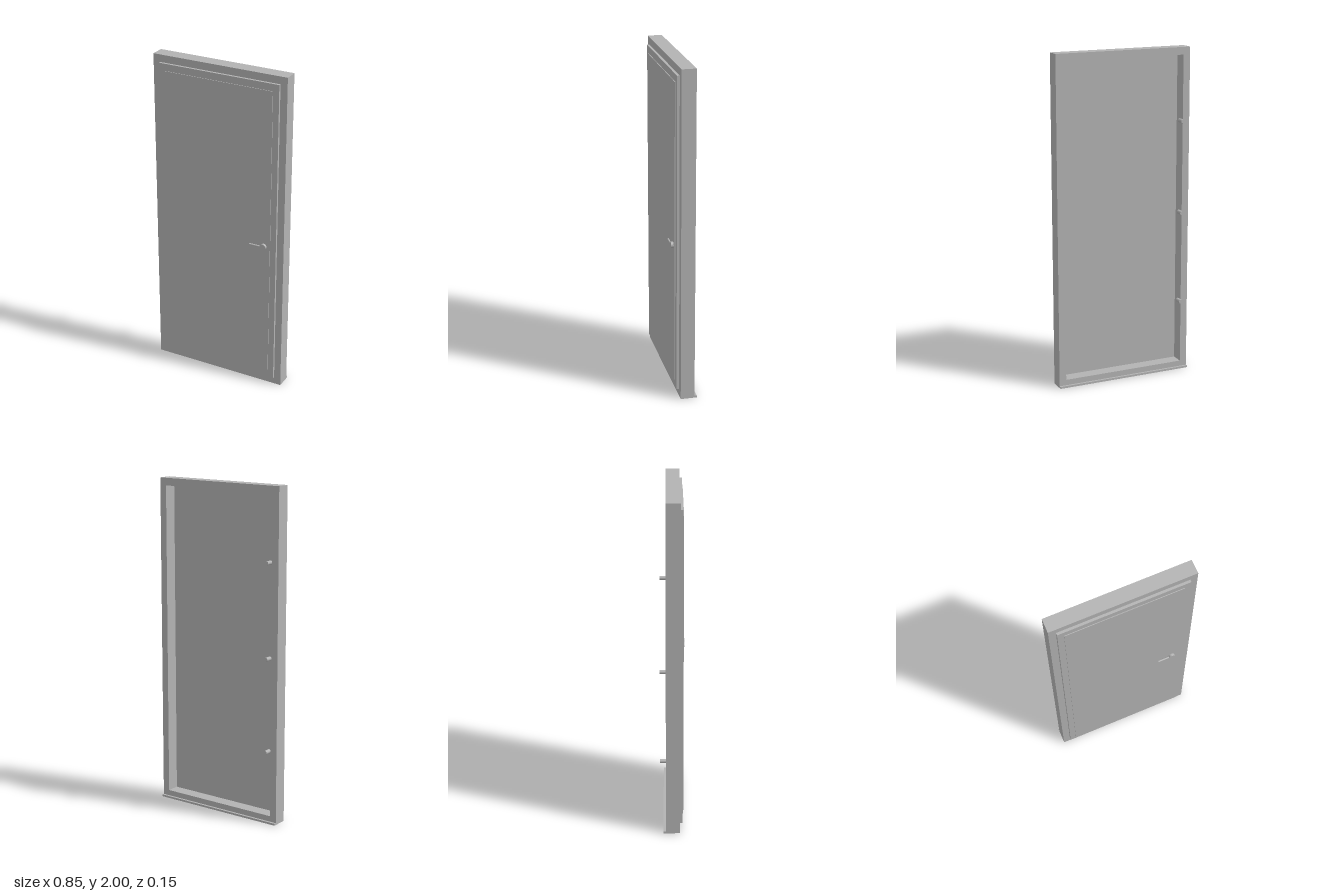
import * as THREE from 'three';

const grey = new THREE.MeshStandardMaterial({ color: 0xb3b3b3 });
grey.name = 'grey';

export function createModel() {
  const model = new THREE.Group();
  model.name = 'door';

  const add = (name, geometry, x, y, z) => {
    const mesh = new THREE.Mesh(geometry, grey);
    mesh.name = name;
    mesh.position.set(x, y, z);
    model.add(mesh);
    return mesh;
  };
  // Box given by its extents
  const box = (name, x0, x1, y0, y1, z0, z1) =>
    add(name, new THREE.BoxGeometry(x1 - x0, y1 - y0, z1 - z0),
      (x0 + x1) / 2, (y0 + y1) / 2, (z0 + z1) / 2);
  // Cylinder lying along z
  const pin = (name, r, x, y, z0, z1) =>
    add(name, new THREE.CylinderGeometry(r, r, z1 - z0, 32).rotateX(Math.PI / 2), x, y, (z0 + z1) / 2);

  // Frame: rectangular ring, open through the back
  const W = 0.426, w = 0.383, b = 0.046, t = 1.955;
  const outline = new THREE.Shape([[-W, 0], [W, 0], [W, 2], [-W, 2]].map(p => new THREE.Vector2(...p)));
  outline.holes.push(new THREE.Path([[-w, b], [-w, t], [w, t], [w, b]].map(p => new THREE.Vector2(...p))));
  add('frame', new THREE.ExtrudeGeometry(outline, { depth: 0.084, bevelEnabled: false }), 0, 0, -0.042);

  // Door leaf and its raised front panel
  box('leaf', -w, w, b, t, 0.036, 0.057);
  box('panel', -0.346, 0.346, 0.09, 1.912, 0.057, 0.061);

  // Sill lip along the back of the frame
  box('sill', -W, W, 0, 0.012, -0.056, -0.042);

  // Hinge pins
  for (const y of [0.445, 1.005, 1.565]) pin('hinge', 0.012, -0.367, y, -0.076, -0.032);

  // Handle: round knob with a thin lever
  pin('knob', 0.019, 0.306, 0.942, 0.059, 0.076);
  add('lever', new THREE.CylinderGeometry(0.0055, 0.0055, 0.085, 24).rotateZ(Math.PI / 2), 0.259, 0.942, 0.0695);

  return model;
}
